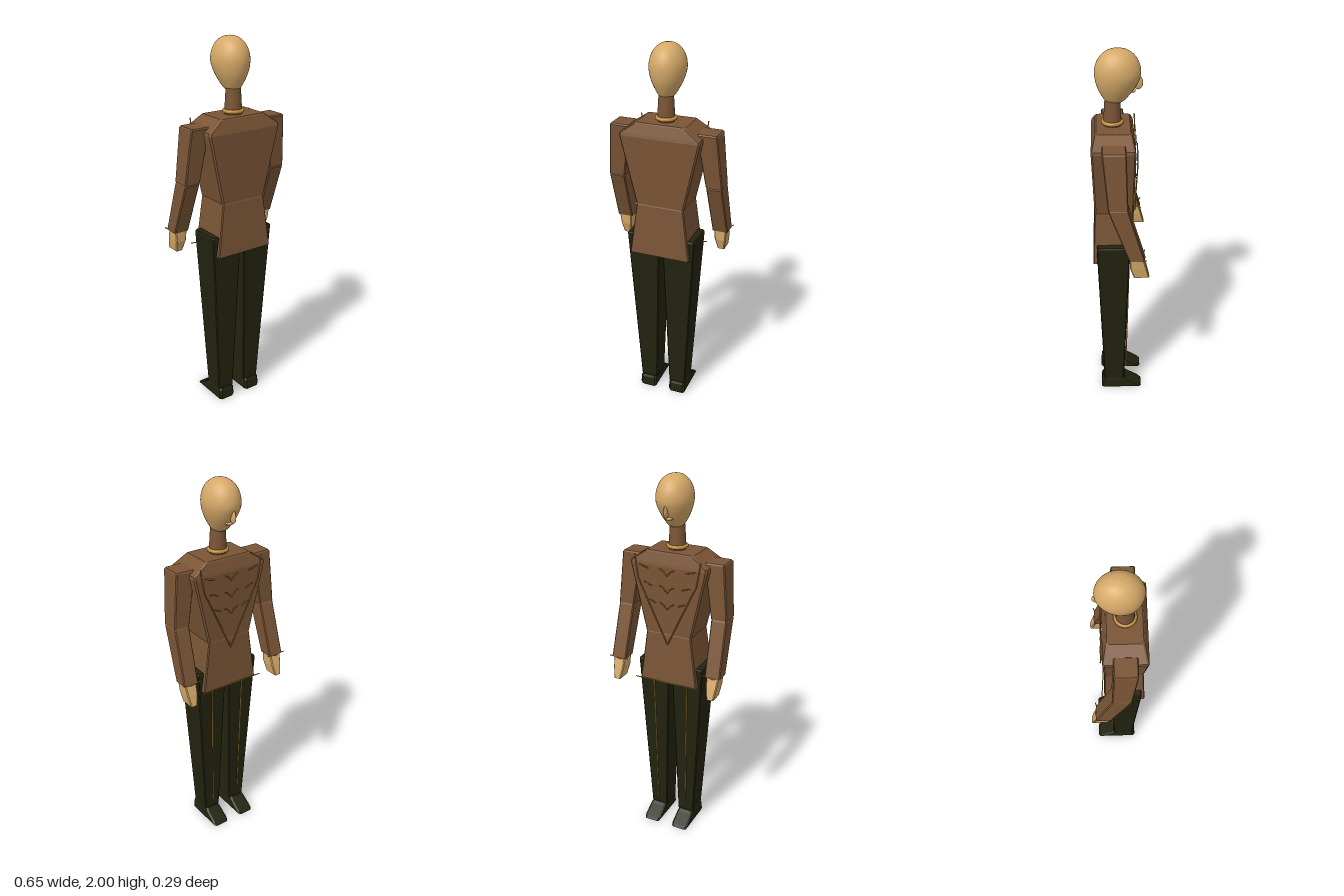
import * as THREE from 'three';

const mat = (name, color, extra = {}) => {
  const m = new THREE.MeshStandardMaterial({ color, ...extra });
  m.name = name;
  return m;
};

// Lofted block with chamfered edges; each section is [y, xMin, xMax, zMin, zMax]
function loft(sections, c = 0.005) {
  const pos = [], idx = [], n = 8;
  for (const [y, a, b, d, e] of sections) {
    const ring = [[b, e - c], [b, d + c], [b - c, d], [a + c, d], [a, d + c], [a, e - c], [a + c, e], [b - c, e]];
    for (const [x, z] of ring) pos.push(x, y, z);
  }
  const last = (sections.length - 1) * n;
  for (let s = 0; s < last; s += n) {
    for (let j = 0; j < n; j++) {
      const k = (j + 1) % n;
      idx.push(s + j, s + k, s + n + k, s + j, s + n + k, s + n + j);
    }
  }
  for (let j = 1; j < n - 1; j++) {
    idx.push(0, j + 1, j);
    idx.push(last, last + j, last + j + 1);
  }
  const g = new THREE.BufferGeometry();
  g.setAttribute('position', new THREE.Float32BufferAttribute(pos, 3));
  g.setIndex(idx);
  const flat = g.toNonIndexed();
  flat.computeVertexNormals();
  return flat;
}

const mirror = (sections, s) => sections.map(([y, a, b, d, e]) => (s > 0 ? [y, a, b, d, e] : [y, -b, -a, d, e]));

// Thin cord through a few points
function cord(points, r = 0.003) {
  const path = new THREE.CurvePath();
  const v = points.map((p) => new THREE.Vector3(...p));
  for (let i = 1; i < v.length; i++) path.add(new THREE.LineCurve3(v[i - 1], v[i]));
  return new THREE.TubeGeometry(path, (v.length - 1) * 4, r, 6, false);
}

export function createModel() {
  const group = new THREE.Group();
  const cloth = mat('brown cloth', 0x7a5536);
  const dark = mat('dark trousers', 0x23230f);
  const skin = mat('tan skin', 0xd6a968);
  const gold = mat('gold braid', 0xbd8c3c, { side: THREE.DoubleSide });
  const add = (name, geometry, material) => {
    const m = new THREE.Mesh(geometry, material);
    m.name = name;
    group.add(m);
    return m;
  };

  // Jacket
  add('jacketChest', loft([
    [1.185, -0.13, 0.13, -0.07, 0.13],
    [1.55, -0.213, 0.213, -0.075, 0.142],
    [1.565, -0.21, 0.21, -0.072, 0.138],
    [1.615, -0.137, 0.137, -0.058, 0.122],
    [1.62, -0.13, 0.13, -0.052, 0.116],
  ], 0.008), cloth);
  add('jacketSkirt', loft([
    [0.9, -0.165, 0.165, -0.075, 0.142],
    [1.18, -0.128, 0.128, -0.068, 0.13],
    [1.187, -0.124, 0.124, -0.064, 0.126],
  ]), cloth);

  // Neck and collar ring
  const neck = add('neck', new THREE.CylinderGeometry(0.037, 0.046, 0.15, 24), cloth);
  neck.position.set(0, 1.69, 0.035);
  const collar = add('collar', new THREE.TorusGeometry(0.046, 0.01, 10, 32), gold);
  collar.rotation.x = Math.PI / 2;
  collar.position.set(0, 1.635, 0.035);

  // Egg-shaped head, deeper than wide, with the chin end drawn back
  const profile = new THREE.SplineCurve([
    [0, 1.732], [0.034, 1.742], [0.058, 1.777], [0.08, 1.825], [0.0915, 1.877],
    [0.086, 1.925], [0.067, 1.965], [0.037, 1.991], [0, 2],
  ].map((p) => new THREE.Vector2(...p))).getPoints(32);
  profile[0].x = profile[32].x = 0;
  const headGeo = new THREE.LatheGeometry(profile, 40);
  const p = headGeo.attributes.position;
  for (let i = 0; i < p.count; i++) {
    p.setZ(i, p.getZ(i) * 1.22 + 0.009 + Math.max(0, 1.87 - p.getY(i)) * 0.12);
  }
  headGeo.computeVertexNormals();
  add('head', headGeo, skin);

  // Face on the -z side
  const nose = add('nose', new THREE.SphereGeometry(1, 16, 12), skin);
  nose.scale.set(0.009, 0.034, 0.024);
  nose.position.set(0, 1.832, -0.089);
  const mouth = add('mouth', new THREE.SphereGeometry(1, 16, 12), skin);
  mouth.scale.set(0.024, 0.008, 0.015);
  mouth.position.set(0, 1.793, -0.063);

  for (const s of [1, -1]) {
    const side = s > 0 ? 'left' : 'right';
    const part = (name, sections, material, c) => add(side + name, loft(mirror(sections, s), c), material);
    const trim = (name, pts, r) => add(side + name, cord(pts.map(([x, y, z]) => [x * s, y, z]), r), gold);

    // Arm and hand
    part('UpperArm', [
      [1.3, 0.222, 0.309, -0.035, 0.063],
      [1.58, 0.178, 0.284, -0.026, 0.09],
      [1.587, 0.183, 0.279, -0.021, 0.085],
    ], cloth);
    part('Forearm', [
      [1.015, 0.232, 0.315, -0.12, -0.04],
      [1.293, 0.224, 0.308, -0.036, 0.062],
      [1.3, 0.228, 0.304, -0.031, 0.058],
    ], cloth);
    part('Hand', [
      [0.9, 0.255, 0.293, -0.145, -0.065],
      [0.96, 0.243, 0.302, -0.13, -0.046],
      [1.016, 0.24, 0.307, -0.113, -0.042],
    ], skin);
    trim('CuffBraid', [[0.323, 1.023, -0.126], [0.307, 1.016, -0.115], [0.27, 1.012, -0.122], [0.235, 1.016, -0.115], [0.218, 1.02, -0.122]]);

    // Leg and shoe
    part('Leg', [
      [0.062, 0.037, 0.132, -0.022, 0.09],
      [1.0, 0.008, 0.187, -0.05, 0.122],
      [1.008, 0.012, 0.183, -0.046, 0.118],
    ], dark);
    part('Shoe', [
      [0, 0.043, 0.132, -0.123, 0.106],
      [0.012, 0.039, 0.135, -0.108, 0.108],
      [0.055, 0.041, 0.133, -0.042, 0.104],
      [0.067, 0.046, 0.128, -0.028, 0.097],
    ], dark, 0.01);
    trim('TrouserStripe', [[0.098, 0.92, -0.05], [0.086, 0.12, -0.034]], 0.004);

    // Braid edging down the chest
    trim('ChestBraid', [[0.183, 1.6, -0.08], [0.165, 1.48, -0.085], [0, 1.13, -0.08]]);
    // Short loops reaching toward the middle
    for (const [y, w] of [[1.55, 0.16], [1.46, 0.13], [1.37, 0.1]]) {
      trim('ChestLoop', [[w, y, -0.082], [w * 0.65, y - 0.015, -0.084]], 0.0028);
      trim('CentreLoop', [[0.04, y - 0.01, -0.083], [0.02, y - 0.02, -0.083], [0, y - 0.045, -0.082]], 0.0028);
    }
  }

  // Braid along the hem
  add('hemBraid', cord([[-0.185, 0.912, -0.09], [0, 0.905, -0.078], [0.185, 0.912, -0.09]]), gold);
  return group;
}
